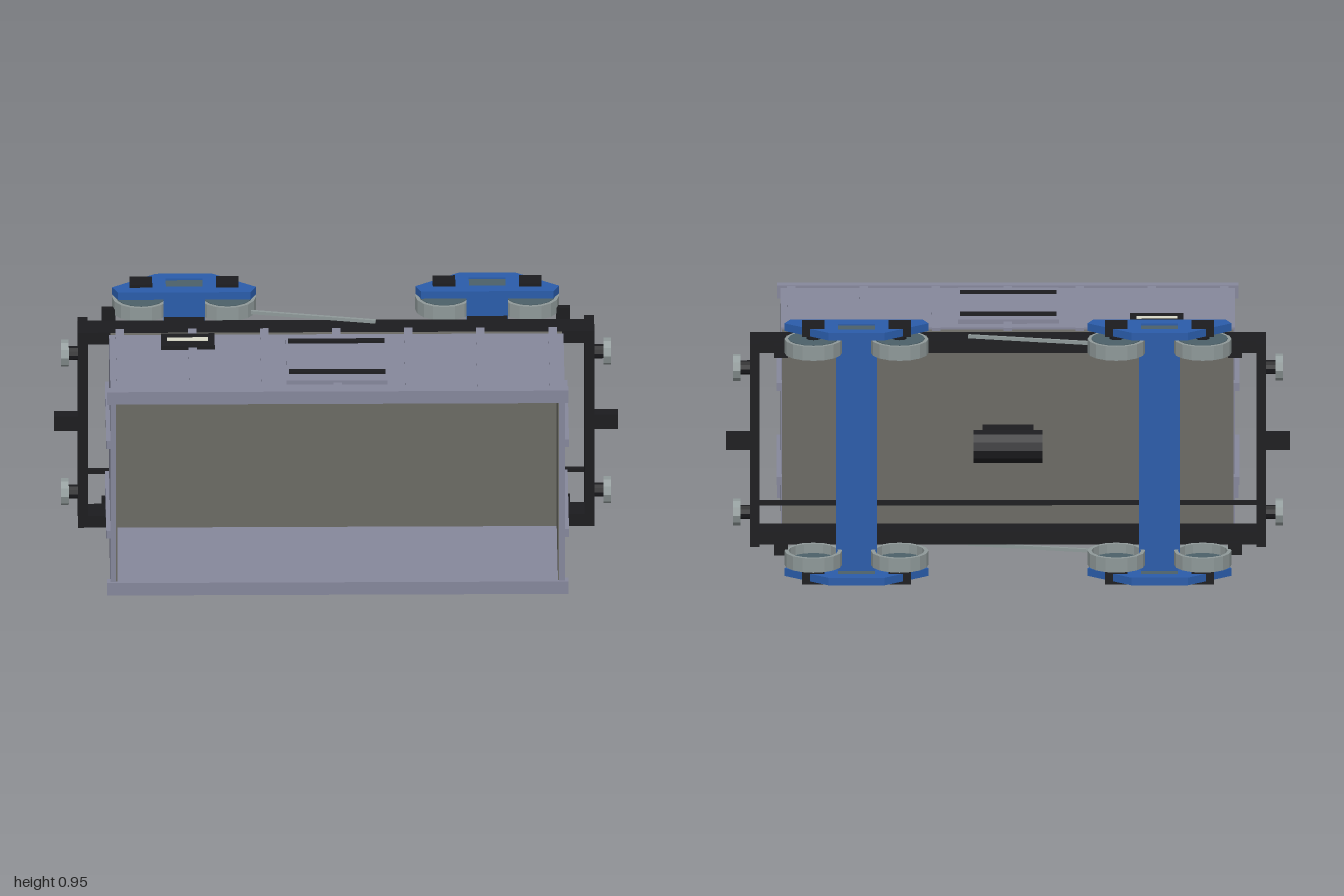
import * as THREE from 'three';

// A goods wagon resting on its side: its length runs along x, its width along y, its height along z.
const mat = (color) => new THREE.MeshStandardMaterial({ color, flatShading: true, side: THREE.DoubleSide });

export function createModel() {
  const model = new THREE.Group();
  model.name = 'wagon';
  model.position.y = 0.4775;

  const body = mat(0x85879b), wood = mat(0x6b6a64), black = mat(0x1c1c1f), blue = mat(0x2a5caa);
  const steel = mat(0x8f9999), teal = mat(0x4c6068), cream = mat(0xd8d8c8);

  const add = (name, geometry, material, x, y, z) => {
    const mesh = new THREE.Mesh(geometry, material);
    mesh.name = name;
    mesh.position.set(x, y, z);
    model.add(mesh);
    return mesh;
  };
  // Box given by its limits on each axis
  const box = (name, m, x0, x1, y0, y1, z0, z1) =>
    add(name, new THREE.BoxGeometry(x1 - x0, y1 - y0, z1 - z0), m, (x0 + x1) / 2, (y0 + y1) / 2, (z0 + z1) / 2);
  // Box mirrored across the width (y)
  const boxY = (name, m, x0, x1, y0, y1, z0, z1) => {
    box(name, m, x0, x1, y0, y1, z0, z1);
    box(name, m, x0, x1, -y1, -y0, z0, z1);
  };
  // Box mirrored along the length (x)
  const boxX = (name, m, x0, x1, y0, y1, z0, z1) => {
    box(name, m, x0, x1, y0, y1, z0, z1);
    box(name, m, -x1, -x0, y0, y1, z0, z1);
  };

  // Open body: floor, walls, lining and top rails
  box('floor', wood, -0.8, 0.8, -0.375, 0.375, -0.122, -0.085);
  boxY('sideWall', body, -0.805, 0.805, 0.36, 0.383, -0.085, 0.42);
  boxX('endWall', body, 0.785, 0.805, -0.383, 0.383, -0.085, 0.44);
  boxX('endLining', wood, 0.781, 0.785, -0.36, 0.36, -0.085, 0.435);
  boxY('topRail', body, -0.818, 0.818, 0.344, 0.392, 0.413, 0.45);

  // Ribs on the side and end walls
  for (const x of [-0.767, -0.51, -0.255, 0, 0.255, 0.51, 0.767])
    boxY('sideRib', body, x - 0.015, x + 0.015, 0.38, 0.391, -0.122, 0.413);
  for (const y of [-0.173, 0.173])
    boxX('endRib', body, 0.8, 0.82, y - 0.015, y + 0.015, -0.122, 0.413);

  // Side doors with bars, and the label plates
  boxY('door', body, -0.18, 0.177, 0.38, 0.398, -0.04, 0.366);
  for (const z of [0.02, 0.295])
    boxY('doorBar', black, -0.172, 0.17, 0.395, 0.407, z - 0.012, z + 0.012);
  boxY('labelFrame', black, -0.622, -0.432, 0.38, 0.397, -0.065, 0.05);
  boxY('labelPlate', cream, -0.6, -0.455, 0.395, 0.399, -0.025, 0.003);

  // Underframe
  boxY('soleBar', black, -0.915, 0.915, 0.33, 0.376, -0.23, -0.122);
  boxX('endBeam', black, 0.88, 0.915, -0.376, 0.376, -0.265, -0.122);
  box('brakePipe', black, -0.91, 0.91, -0.222, -0.207, -0.263, -0.246);
  const tank = add('airTank', new THREE.CylinderGeometry(0.06, 0.06, 0.245, 12), black, 0, 0, -0.28);
  tank.rotation.z = Math.PI / 2;
  box('tankMount', black, -0.09, 0.09, -0.035, 0.035, -0.26, -0.12);

  // Couplers and buffers
  boxX('coupler', black, 0.91, 1, -0.028, 0.028, -0.23, -0.18);
  for (const sx of [-1, 1]) for (const y of [-0.267, 0.267]) {
    const stem = add('bufferStem', new THREE.CylinderGeometry(0.025, 0.025, 0.045, 10), black, sx * 0.93, y, -0.193);
    const disc = add('bufferHead', new THREE.CylinderGeometry(0.048, 0.048, 0.027, 10), steel, sx * 0.961, y, -0.193);
    stem.rotation.z = disc.rotation.z = Math.PI / 2;
  }

  // Slanting brake rods on both sides
  const a = new THREE.Vector2(-0.3, -0.287), b = new THREE.Vector2(0.14, -0.198);
  for (const y of [-0.383, 0.383]) {
    const rod = add('brakeRod', new THREE.BoxGeometry(a.distanceTo(b), 0.012, 0.012), steel,
      (a.x + b.x) / 2, y, (a.y + b.y) / 2);
    rod.rotation.y = -Math.atan2(b.y - a.y, b.x - a.x);
  }

  // Bogie side frame: a long plate with a window
  const plate = new THREE.Shape([[-0.1, -0.44], [0.1, -0.44], [0.255, -0.32], [0.235, -0.272],
    [-0.235, -0.272], [-0.255, -0.32]].map(([x, z]) => new THREE.Vector2(x, z)));
  plate.holes.push(new THREE.Path([[-0.065, -0.395], [-0.065, -0.325], [0.065, -0.325], [0.065, -0.395]]
    .map(([x, z]) => new THREE.Vector2(x, z))));
  const plateGeo = new THREE.ExtrudeGeometry(plate, { depth: 0.028, bevelEnabled: false });
  plateGeo.rotateX(Math.PI / 2).translate(0, 0.014, 0);

  // Wheel rim as a closed ring section
  const rimGeo = new THREE.LatheGeometry([[0.088, -0.026], [0.102, -0.026], [0.102, 0.026], [0.088, 0.026], [0.088, -0.026]]
    .map(([r, y]) => new THREE.Vector2(r, y)), 16);
  const webGeo = new THREE.CylinderGeometry(0.089, 0.089, 0.02, 16);
  const bossGeo = new THREE.CylinderGeometry(0.026, 0.026, 0.03, 10);

  for (const cx of [-0.537, 0.537]) {
    // Cross beam and its pivot plate
    box('bogieBeam', blue, cx - 0.073, cx + 0.073, -0.45, 0.45, -0.335, -0.275);
    box('pivotPlate', black, cx - 0.072, cx + 0.072, -0.108, 0.108, -0.275, -0.12);
    for (const s of [-1, 1]) {
      add('sideFrame', plateGeo, blue, cx, s * 0.452, 0);
      box('windowPanel', teal, cx - 0.066, cx + 0.066, s * 0.452 - 0.008, s * 0.452 + 0.008, -0.396, -0.324);
      // Bearing pad between beam and sole bar
      box('bearingPad', black, cx - 0.072, cx + 0.072, s * 0.35 - 0.02, s * 0.35 + 0.02, -0.275, -0.225);
      for (const dx of [-0.153, 0.153]) {
        const x = cx + dx;
        add('wheelRim', rimGeo, steel, x, s * 0.391, -0.347);
        add('wheelWeb', webGeo, teal, x, s * 0.409, -0.347);
        add('axleBoss', bossGeo, black, x, s * 0.428, -0.347);
        box('axleBox', black, x - 0.04, x + 0.04, s * 0.457 - 0.0205, s * 0.457 + 0.0205, -0.39, -0.315);
      }
      // Brake block at the outer end
      const e = Math.sign(cx);
      box('brakeBlock', black, e * 0.805 - 0.025, e * 0.805 + 0.025, s * 0.364 - 0.023, s * 0.364 + 0.023, -0.33, -0.305);
    }
  }
  return model;
}
